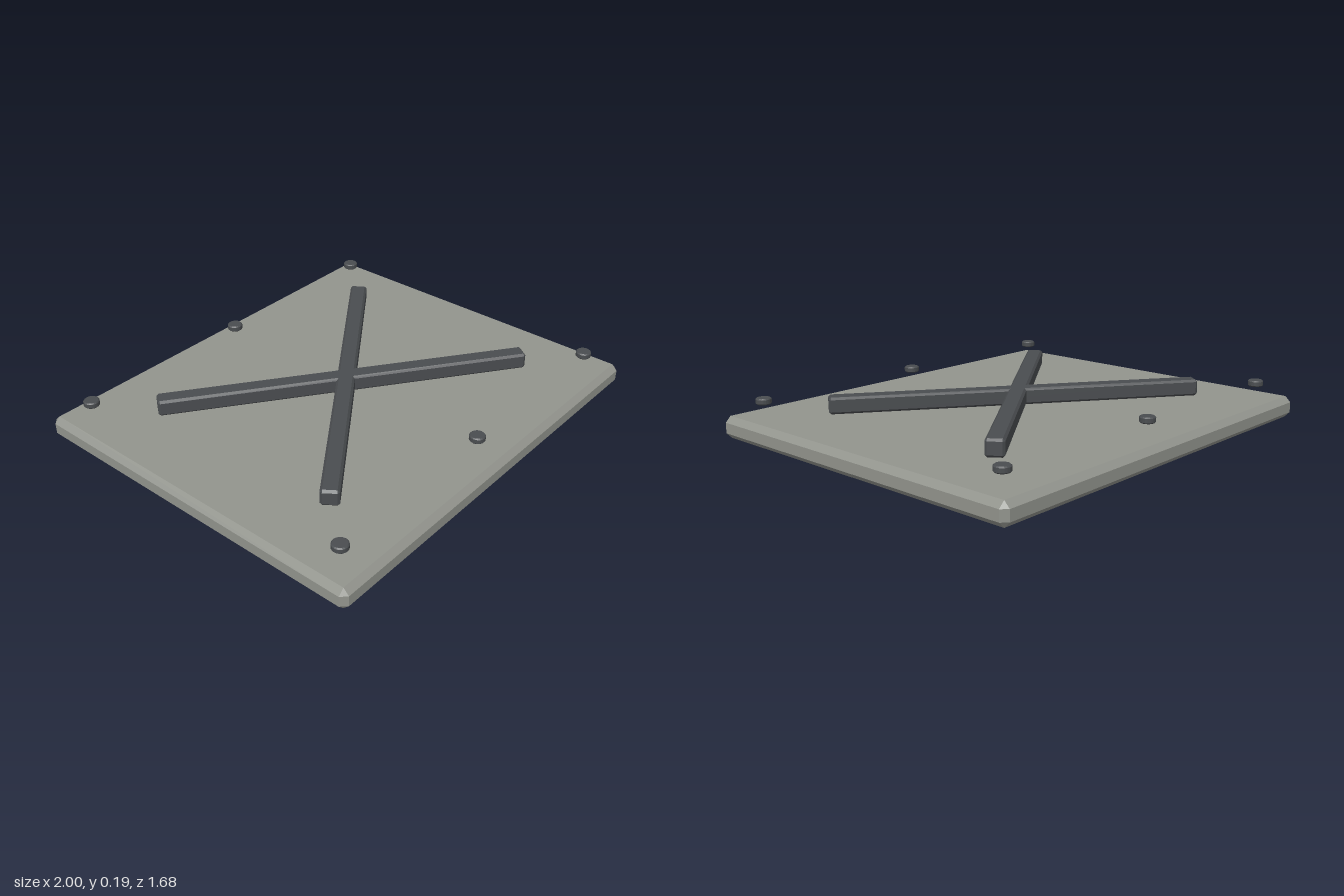
import * as THREE from 'three';
import { ConvexGeometry } from 'three/addons/geometries/ConvexGeometry.js';

// Box with every edge and corner cut by one flat chamfer
function chamferBox(w, h, d, c) {
  const half = [w / 2, h / 2, d / 2];
  const points = [];
  for (const sx of [-1, 1]) for (const sy of [-1, 1]) for (const sz of [-1, 1]) {
    for (let face = 0; face < 3; face++) {
      const [x, y, z] = half.map((v, axis) => (axis === face ? v : v - c));
      points.push(new THREE.Vector3(sx * x, sy * y, sz * z));
    }
  }
  return new ConvexGeometry(points);
}

// Short disc with chamfered rims
function boltGeometry(r, h, c) {
  const profile = [[0, -h / 2], [r - c, -h / 2], [r, -h / 2 + c], [r, h / 2 - c], [r - c, h / 2], [0, h / 2]];
  return new THREE.LatheGeometry(profile.map(([x, y]) => new THREE.Vector2(x, y)), 20);
}

export function createModel() {
  const group = new THREE.Group();
  const plateMaterial = new THREE.MeshStandardMaterial({ color: 0x92948d, flatShading: true });
  const metalMaterial = new THREE.MeshStandardMaterial({ color: 0x4a4d50, flatShading: true });

  function add(name, geometry, material, x, y, z) {
    const mesh = new THREE.Mesh(geometry, material);
    mesh.name = name;
    mesh.position.set(x, y, z);
    group.add(mesh);
    return mesh;
  }

  // Base plate
  add('plate', chamferBox(2, 0.1, 1.68, 0.026), plateMaterial, 0, 0.05, 0);

  // Two crossed braces
  const braceGeometry = chamferBox(1.69, 0.075, 0.08, 0.01);
  for (const side of [-1, 1]) {
    const brace = add(side < 0 ? 'braceA' : 'braceB', braceGeometry, metalMaterial, 0, 0.15, 0);
    brace.rotation.y = side * THREE.MathUtils.degToRad(36);
  }

  // Six bolts along the front and back edges
  const bolt = boltGeometry(0.035, 0.028, 0.005);
  for (const z of [-0.71, 0.71]) {
    for (const x of [-0.87, 0, 0.87]) add('bolt', bolt, metalMaterial, x, 0.166, z);
  }
  return group;
}
